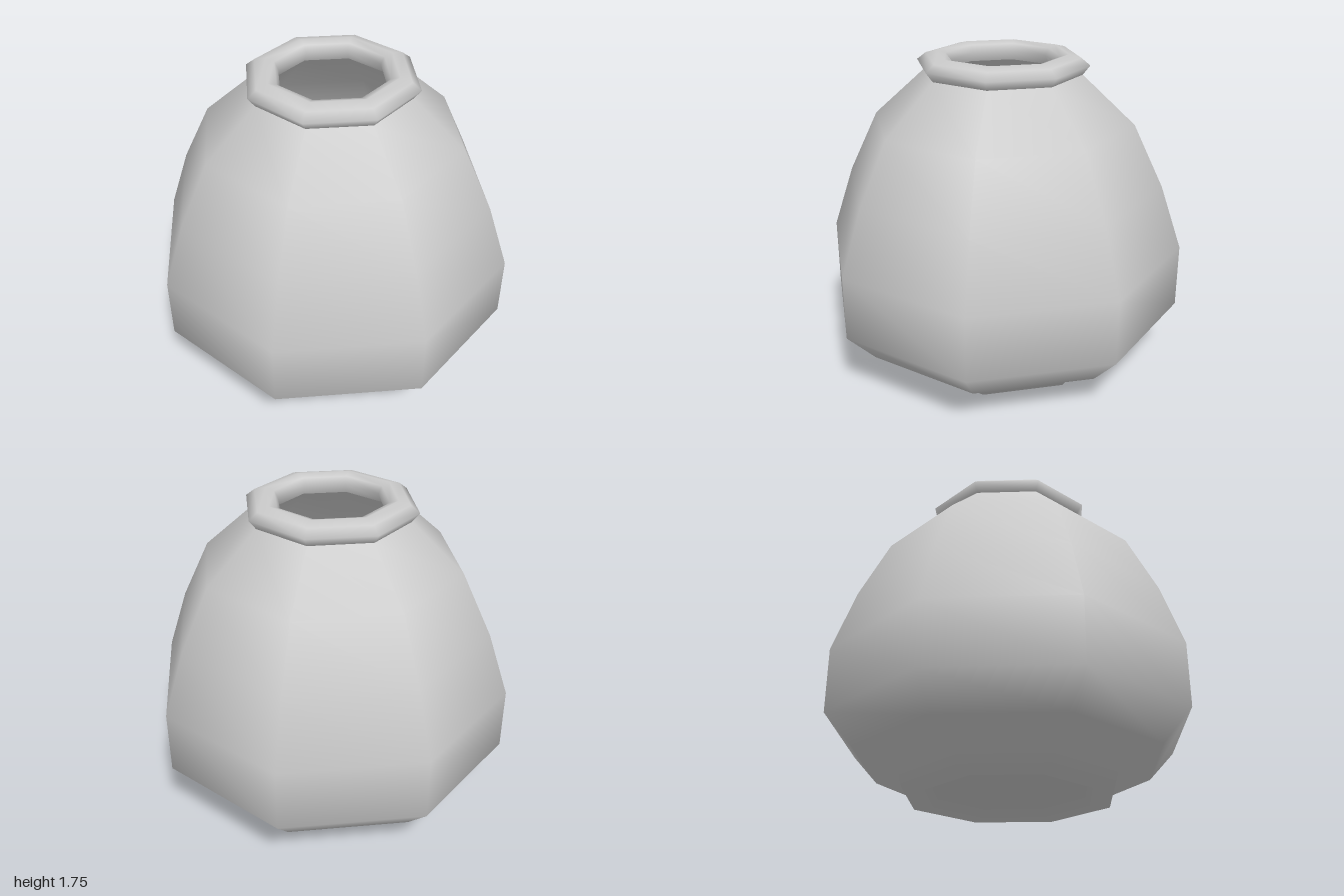
import * as THREE from 'three';

const SIDES = 8;

// Turn a radius/height profile into an eight-sided smooth-shaded ring of surface
function turned(name, profile) {
  const points = profile.map(([r, y]) => new THREE.Vector2(r, y));
  const mesh = new THREE.Mesh(
    new THREE.LatheGeometry(points, SIDES),
    new THREE.MeshStandardMaterial({ color: 0xcccccc, side: THREE.DoubleSide })
  );
  mesh.name = name;
  return mesh;
}

export function createModel() {
  const pot = new THREE.Group();
  pot.name = 'pot';

  // Recessed underside, foot ring, belly and shoulder
  pot.add(turned('body', [
    [0, 0.07], [0.42, 0.07], [0.46, 0], [0.58, 0], [0.6, 0.07], [0.84, 0.18],
    [1, 0.35], [1, 0.7], [0.88, 1.05], [0.715, 1.39], [0.43, 1.65],
  ]));

  // Flared rolled lip
  pot.add(turned('rim', [
    [0.43, 1.65], [0.468, 1.7], [0.42, 1.738], [0.355, 1.755],
    [0.31, 1.74], [0.29, 1.7], [0.31, 1.65],
  ]));

  // Hollow inside, following the outer wall down to the floor
  pot.add(turned('cavity', [
    [0.31, 1.65], [0.62, 1.35], [0.79, 1.02], [0.9, 0.68],
    [0.9, 0.39], [0.76, 0.25], [0.5, 0.14], [0, 0.14],
  ]));

  return pot;
}
